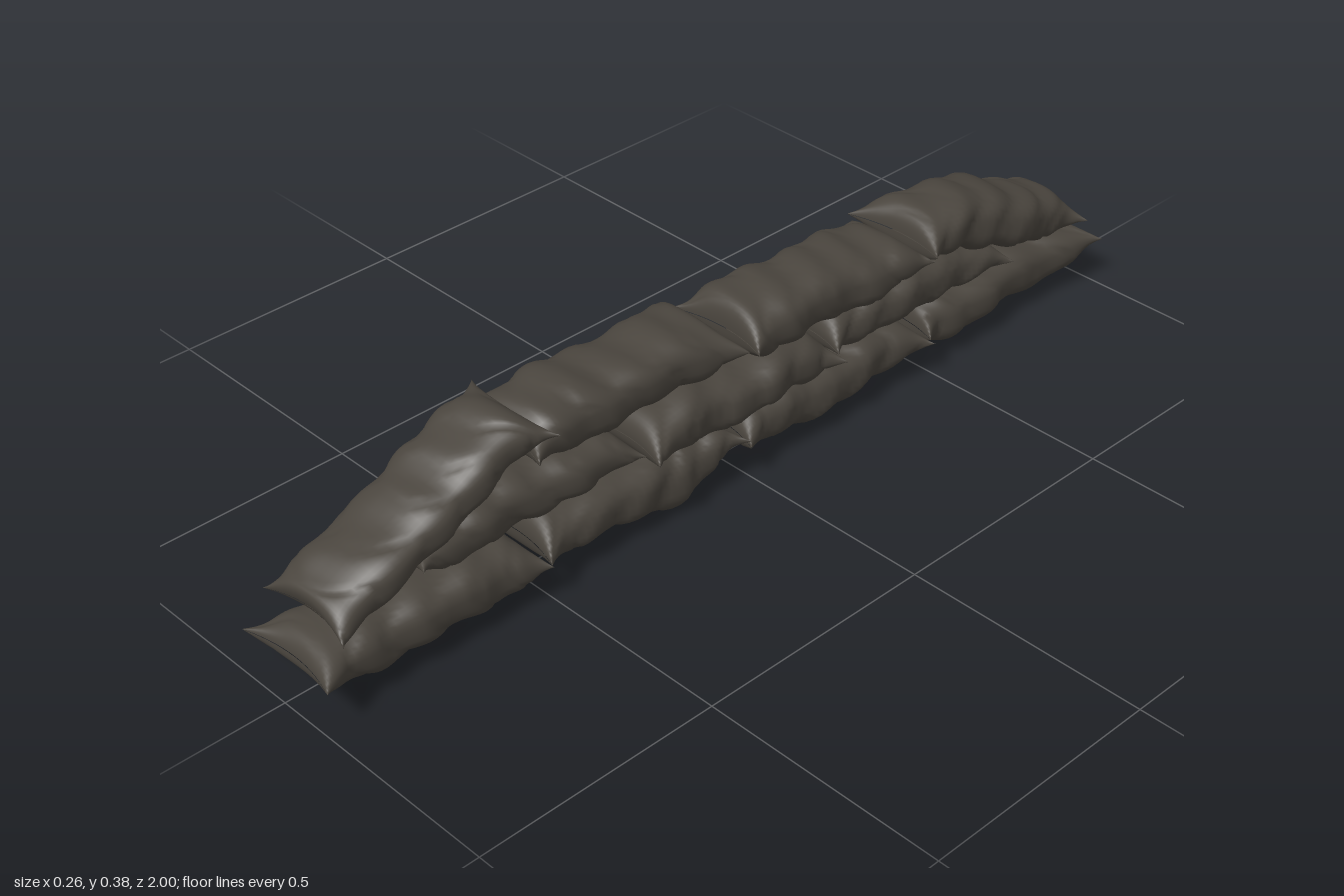
import * as THREE from 'three';

const ALONG = 56, AROUND = 44;

// One filled sack swept along points [z, y, halfHeight], flat-pinched at both ends with pointed corners
function sackGeometry(points, xOffset, seed) {
  // the curve's x component carries the half height
  const curve = new THREE.CatmullRomCurve3(points.map(([z, y, h]) => new THREE.Vector3(h, y, z)));
  const pos = [], index = [];
  for (let i = 0; i <= ALONG; i++) {
    const u = Math.sin((i / ALONG - 0.5) * Math.PI); // denser rings at the ends
    const e = Math.abs(u);
    const t = (u + 1) / 2;
    const c = curve.getPoint(t), d = curve.getTangent(t);
    const len = Math.hypot(d.y, d.z);
    const ty = d.y / len, tz = d.z / len;
    const fill = Math.sqrt(Math.max(0, 1 - e ** 7));
    const halfH = c.x * fill + 0.0008;
    const halfW = 0.09 - 0.004 * Math.cos(u * 5 + seed) + 0.024 * e ** 10;
    const power = 0.72 + 0.28 * e ** 4;
    for (let j = 0; j < AROUND; j++) {
      const a = (j / AROUND) * Math.PI * 2;
      const ca = Math.cos(a), sa = Math.sin(a);
      // cloth folds: slanting creases plus slow lumps
      const crease = 1 - Math.abs(Math.sin(u * 9 + 1.3 * Math.sin(a * 2 + seed) + seed * 2.1));
      const fold = 0.0035 * Math.sin(u * 15 + 2 * Math.sin(a + seed) + seed)
        + 0.003 * Math.sin(u * 6 - a * 2 + seed * 1.7)
        - 0.006 * crease ** 4 * (0.4 + 0.6 * Math.abs(ca));
      const swell = fold * fill;
      const x = Math.sign(ca) * Math.abs(ca) ** power * halfW + ca * swell;
      const n = Math.sign(sa) * Math.abs(sa) ** power * halfH + sa * swell;
      // end seam is hollow between the corners
      const inset = -Math.sign(u) * 0.022 * e ** 8 * (1 - Math.min(1, (x / halfW) ** 2));
      pos.push(x + xOffset, c.y - tz * n + ty * inset, c.z + ty * n + tz * inset);
    }
  }
  for (let i = 0; i < ALONG; i++) {
    for (let j = 0; j < AROUND; j++) {
      const k = (j + 1) % AROUND;
      const a = i * AROUND + j, b = i * AROUND + k;
      index.push(a, a + AROUND, b, b, a + AROUND, b + AROUND);
    }
  }
  const g = new THREE.BufferGeometry();
  g.setAttribute('position', new THREE.Float32BufferAttribute(pos, 3));
  g.setIndex(index);
  g.computeVertexNormals();
  return g;
}

// Each sack: x offset, then path points [z, y, halfHeight]
const rows = {
  bottomRow: [
    [0.012, [[1, 0.1, 0.04], [0.88, 0.088, 0.052], [0.75, 0.09, 0.056], [0.62, 0.088, 0.057], [0.51, 0.088, 0.055]]],
    [0, [[0.51, 0.088, 0.055], [0.4, 0.092, 0.052], [0.28, 0.083, 0.058], [0.18, 0.074, 0.066], [0.1, 0.09, 0.053], [0.02, 0.105, 0.04]]],
    [0, [[0.02, 0.09, 0.055], [-0.1, 0.088, 0.056], [-0.22, 0.086, 0.056], [-0.35, 0.088, 0.056], [-0.48, 0.092, 0.055]]],
    [-0.005, [[-0.48, 0.095, 0.05], [-0.58, 0.088, 0.056], [-0.72, 0.09, 0.052], [-0.87, 0.088, 0.054], [-1, 0.11, 0.05]]],
  ],
  middleRow: [
    [-0.012, [[0.77, 0.205, 0.045], [0.64, 0.193, 0.052], [0.52, 0.194, 0.05], [0.4, 0.196, 0.052], [0.27, 0.19, 0.05]]],
    [0.016, [[0.27, 0.185, 0.05], [0.14, 0.19, 0.055], [0.02, 0.184, 0.052], [-0.1, 0.188, 0.054], [-0.22, 0.175, 0.05]]],
    [-0.014, [[-0.22, 0.18, 0.05], [-0.35, 0.186, 0.053], [-0.47, 0.184, 0.054], [-0.6, 0.182, 0.05], [-0.73, 0.165, 0.045]]],
  ],
  topRow: [
    [0.003, [[0.95, 0.158, 0.045], [0.86, 0.197, 0.045], [0.74, 0.247, 0.042], [0.65, 0.29, 0.044], [0.565, 0.334, 0.046], [0.48, 0.35, 0.04]]],
    [-0.015, [[0.51, 0.29, 0.05], [0.4, 0.298, 0.054], [0.28, 0.294, 0.054], [0.14, 0.295, 0.053], [0.015, 0.292, 0.055]]],
    [0.01, [[0.015, 0.295, 0.055], [-0.1, 0.296, 0.058], [-0.22, 0.292, 0.055], [-0.34, 0.284, 0.052], [-0.465, 0.285, 0.05]]],
    [0.005, [[-0.465, 0.295, 0.052], [-0.58, 0.287, 0.057], [-0.7, 0.256, 0.058], [-0.82, 0.207, 0.056], [-0.94, 0.18, 0.05]]],
  ],
};

export function createModel() {
  const model = new THREE.Group();
  model.name = 'sandbagWall';
  const cloth = new THREE.MeshStandardMaterial({ color: 0x4a453e });
  cloth.name = 'dark brown cloth';
  let seed = 1;
  for (const [name, sacks] of Object.entries(rows)) {
    const row = new THREE.Group();
    row.name = name;
    sacks.forEach(([x, points], i) => {
      const sack = new THREE.Mesh(sackGeometry(points, x, seed), cloth);
      sack.name = `sandbag${i + 1}`;
      row.add(sack);
      seed += 1.37;
    });
    model.add(row);
  }
  return model;
}
